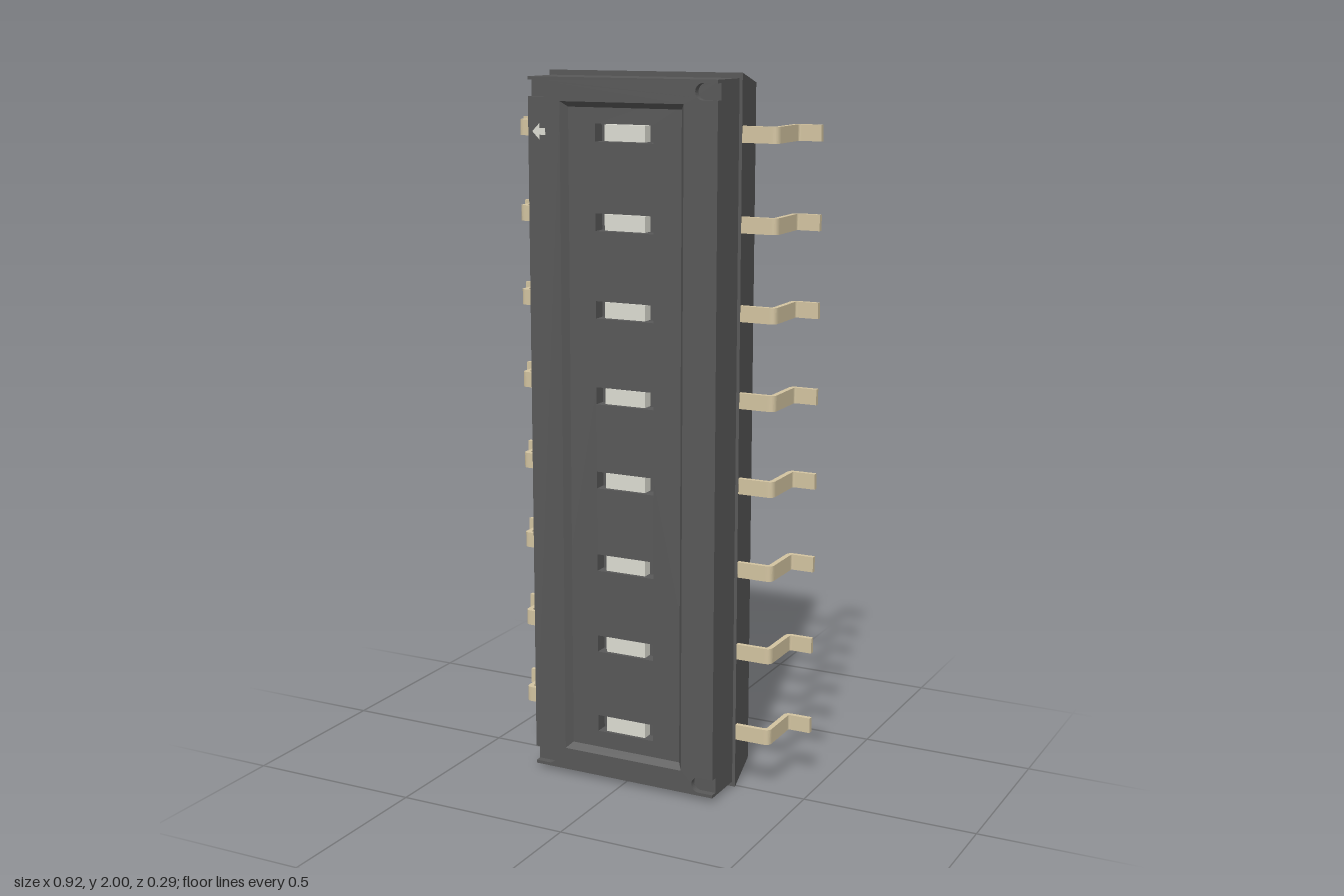
import * as THREE from 'three';

const COUNT = 8, FIRST = 0.165, PITCH = 0.2393;
const mat = (color, side = THREE.FrontSide) => {
  const m = new THREE.MeshStandardMaterial({ side });
  m.color.set(color);
  return m;
};

// Axis-aligned rectangle as a list of points
const rect = (w, h, cy = 0) => [[-w, cy - h], [w, cy - h], [w, cy + h], [-w, cy + h]]
  .map(([x, y]) => new THREE.Vector2(x, y));

const extrude = (shape, depth, z) =>
  new THREE.ExtrudeGeometry(shape, { depth, bevelEnabled: false, curveSegments: 8 }).translate(0, 0, z);

// Four slanted walls between two rectangles (half sizes) at two depths
function slantedWalls(w0, h0, z0, w1, h1, z1) {
  const a = rect(w0, h0), b = rect(w1, h1), pos = [];
  for (let i = 0; i < 4; i++) {
    const j = (i + 1) % 4;
    const A = [a[i].x, a[i].y, z0], B = [a[j].x, a[j].y, z0];
    const C = [b[j].x, b[j].y, z1], D = [b[i].x, b[i].y, z1];
    pos.push(...A, ...C, ...B, ...A, ...D, ...C);
  }
  const g = new THREE.BufferGeometry();
  g.setAttribute('position', new THREE.Float32BufferAttribute(pos, 3));
  g.computeVertexNormals();
  return g;
}

// Rear half of the case: a box whose back face is drawn in
function rearCaseGeometry() {
  const g = new THREE.BoxGeometry(0.584, 2, 0.149).translate(0, 0, -0.0645);
  const p = g.attributes.position;
  for (let i = 0; i < p.count; i++) {
    if (p.getZ(i) < -0.1) p.setXY(i, Math.sign(p.getX(i)) * 0.265, Math.sign(p.getY(i)) * 0.97);
  }
  g.computeVertexNormals();
  return g;
}

// Front rim outline with a round-ended notch cut into each side near the corners
function rimShape() {
  const s = new THREE.Shape(), W = 0.283, H = 0.986, r = 0.022, nx = 0.24, ny = 0.955;
  s.moveTo(-W, -H);
  s.lineTo(W, -H);
  for (const y of [-ny, ny]) {
    s.lineTo(W, y - r);
    s.lineTo(nx, y - r);
    s.absarc(nx, y, r, -Math.PI / 2, -Math.PI * 1.5, true);
    s.lineTo(W, y + r);
  }
  s.lineTo(W, H);
  s.lineTo(-W, H);
  for (const y of [ny, -ny]) {
    s.lineTo(-W, y + r);
    s.lineTo(-nx, y + r);
    s.absarc(-nx, y, r, Math.PI / 2, -Math.PI / 2, true);
    s.lineTo(-W, y - r);
  }
  s.closePath();
  s.holes.push(new THREE.Path(rect(0.185, 0.922)));
  return s;
}

// Bent gull-wing pin: x-z profile extruded along y
function pinGeometry() {
  const s = new THREE.Shape();
  s.moveTo(0.25, -0.005);
  s.lineTo(0.372, -0.005);
  s.quadraticCurveTo(0.38, -0.005, 0.38, -0.013);
  s.lineTo(0.38, -0.125);
  s.quadraticCurveTo(0.38, -0.145, 0.4, -0.145);
  s.lineTo(0.46, -0.145);
  s.lineTo(0.46, -0.131);
  s.lineTo(0.402, -0.131);
  s.quadraticCurveTo(0.395, -0.131, 0.395, -0.124);
  s.lineTo(0.395, -0.01);
  s.quadraticCurveTo(0.395, 0.009, 0.376, 0.009);
  s.lineTo(0.25, 0.009);
  s.closePath();
  return extrude(s, 0.044, -0.022).rotateX(Math.PI / 2);
}

export function createModel() {
  const model = new THREE.Group();
  model.name = 'slideSwitchArray';
  const dark = mat(0x585858), metal = mat(0xd2c3a0), pale = mat(0xdcdcd2);
  const add = (name, geo, material, x = 0, y = 1, z = 0) => {
    const m = new THREE.Mesh(geo, material);
    m.name = name;
    m.position.set(x, y, z);
    model.add(m);
    return m;
  };

  // Case
  add('rearCase', rearCaseGeometry(), dark);
  add('frontCase', new THREE.BoxGeometry(0.566, 1.972, 0.077).translate(0, 0, 0.0465), dark);

  // Recessed face with one slot per switch
  const face = new THREE.Shape(rect(0.283, 0.986));
  for (let i = 0; i < COUNT; i++) {
    face.holes.push(new THREE.Path(rect(0.088, 0.024, FIRST + PITCH * i - 1)));
  }
  add('slottedFace', extrude(face, 0.038, 0.085), dark);

  // Raised rim and its slanted inner edge
  add('rim', extrude(rimShape(), 0.02, 0.123), dark);
  add('rimInnerSlope', slantedWalls(0.185, 0.922, 0.143, 0.17, 0.907, 0.123),
    mat(0x585858, THREE.DoubleSide));

  // Sliders and pins
  const slider = new THREE.BoxGeometry(0.122, 0.044, 0.034);
  const pin = pinGeometry();
  for (let i = 0; i < COUNT; i++) {
    const y = FIRST + PITCH * i;
    add('slider', slider, pale, -0.002, y, 0.1);
    add('leftPin', pin, metal, 0, y);
    add('rightPin', pin, metal, 0, y).rotation.z = Math.PI;
  }

  // Small direction arrow beside the top switch
  const arrow = new THREE.Shape([[-0.27, 0], [-0.248, -0.022], [-0.248, -0.009], [-0.23, -0.009],
    [-0.23, 0.009], [-0.248, 0.009], [-0.248, 0.022]].map(([x, y]) => new THREE.Vector2(x, y)));
  add('arrowMark', extrude(arrow, 0.001, 0.143), pale, 0, FIRST + PITCH * (COUNT - 1));

  return model;
}
